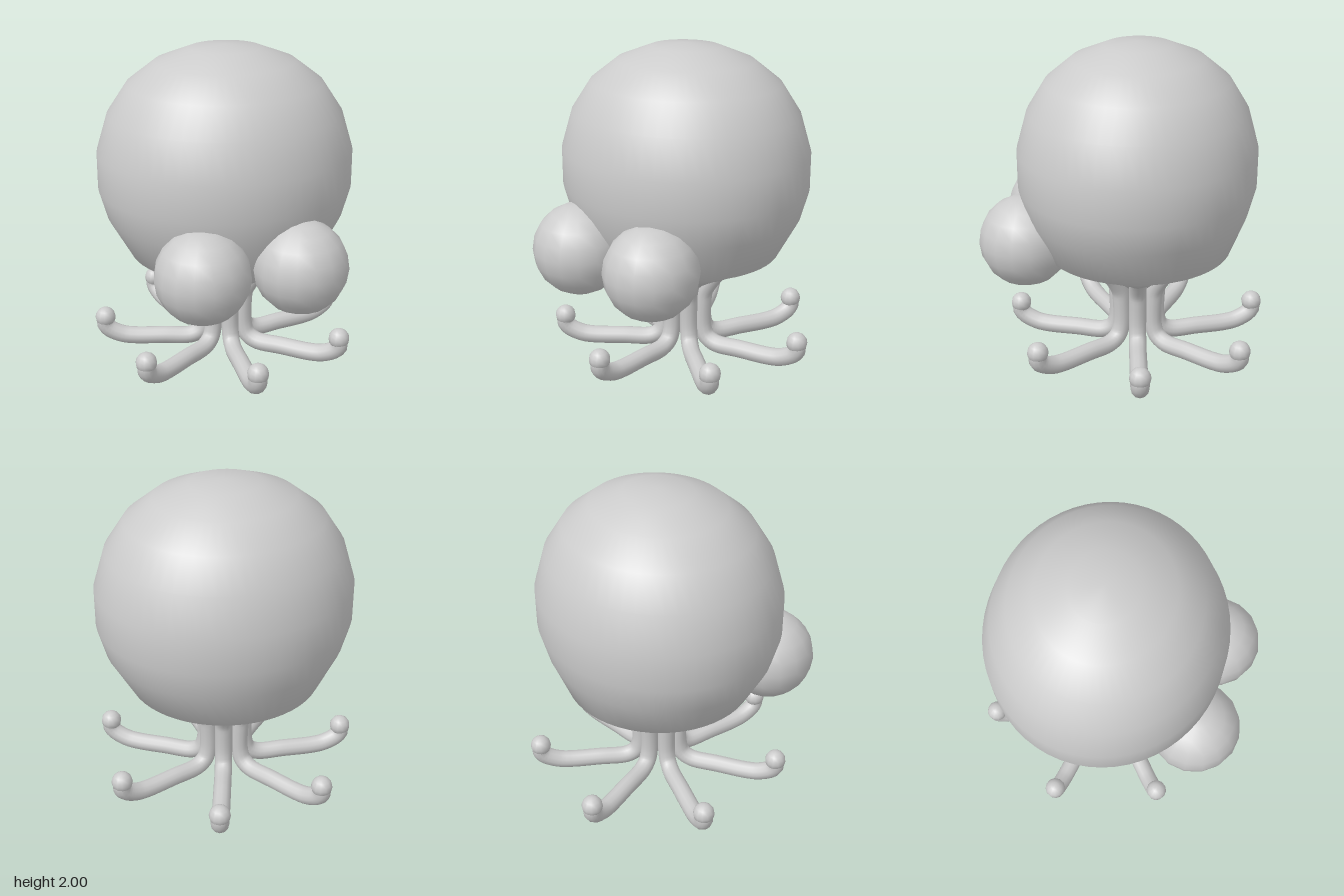
import * as THREE from 'three';
import { mergeVertices } from 'three/addons/utils/BufferGeometryUtils.js';

const LEGS = 7;
const CENTRE_Z = -0.08;
const material = new THREE.MeshStandardMaterial({ color: 0xcccccc });

function addMesh(parent, name, geometry, x = 0, y = 0, z = 0) {
  const mesh = new THREE.Mesh(geometry, material);
  mesh.name = name;
  mesh.position.set(x, y, z);
  parent.add(mesh);
  return mesh;
}

// Domed head, narrowing to a neck that is fluted between the legs
function headGeometry() {
  const profile = [
    [0, 0.41], [0.11, 0.41], [0.18, 0.44], [0.25, 0.5], [0.33, 0.545], [0.45, 0.612], [0.6, 0.7],
    [0.74, 0.95], [0.79, 1.13], [0.79, 1.36], [0.72, 1.59], [0.6, 1.77],
    [0.43, 1.9], [0.22, 1.98], [0, 2],
  ].map(([r, y]) => new THREE.Vector2(r, y));
  let geometry = new THREE.LatheGeometry(profile, LEGS * 8);
  const p = geometry.attributes.position;
  for (let i = 0; i < p.count; i++) {
    const x = p.getX(i), y = p.getY(i), z = p.getZ(i);
    const valley = 0.5 - 0.5 * Math.cos(LEGS * Math.atan2(x, z));
    const depth = 0.3 * THREE.MathUtils.clamp((0.68 - y) / 0.2, 0, 1);
    const flute = 1 - depth * valley;
    const flatten = THREE.MathUtils.lerp(0.98, 0.925, THREE.MathUtils.clamp((y - 0.7) / 0.25, 0, 1));
    p.setXYZ(i, x * flute, y, z * flute * flatten);
  }
  geometry.deleteAttribute('normal');
  geometry.deleteAttribute('uv');
  geometry = mergeVertices(geometry, 1e-4);
  geometry.computeVertexNormals();
  return geometry;
}

// One leg: down from the neck, out along the ground, curled up at the tip
function makeLeg() {
  const leg = new THREE.Group();
  leg.name = 'leg';
  const path = new THREE.CatmullRomCurve3([
    [0.27, 0.6], [0.19, 0.5], [0.14, 0.41], [0.13, 0.34], [0.13, 0.17], [0.155, 0.1],
    [0.22, 0.06], [0.4, 0.058], [0.6, 0.058], [0.68, 0.07], [0.765, 0.112], [0.79, 0.15], [0.785, 0.195],
  ].map(([r, y]) => new THREE.Vector3(0, y, r)));
  addMesh(leg, 'legTube', new THREE.TubeGeometry(path, 48, 0.056, 12));
  addMesh(leg, 'legTip', new THREE.SphereGeometry(0.066, 12, 8), 0, 0.195, 0.785);
  return leg;
}

export function createModel() {
  const model = new THREE.Group();
  model.name = 'octopus';

  addMesh(model, 'head', headGeometry(), 0, 0, CENTRE_Z);

  // Bulging eyes
  for (const side of [-1, 1]) {
    addMesh(model, side > 0 ? 'leftEye' : 'rightEye', new THREE.SphereGeometry(0.286, 16, 10), side * 0.295, 0.795, 0.56);
  }

  // Ring of legs, the first facing forward
  for (let i = 0; i < LEGS; i++) {
    const leg = makeLeg();
    leg.position.z = CENTRE_Z;
    leg.rotation.y = (i / LEGS) * Math.PI * 2;
    model.add(leg);
  }
  return model;
}
